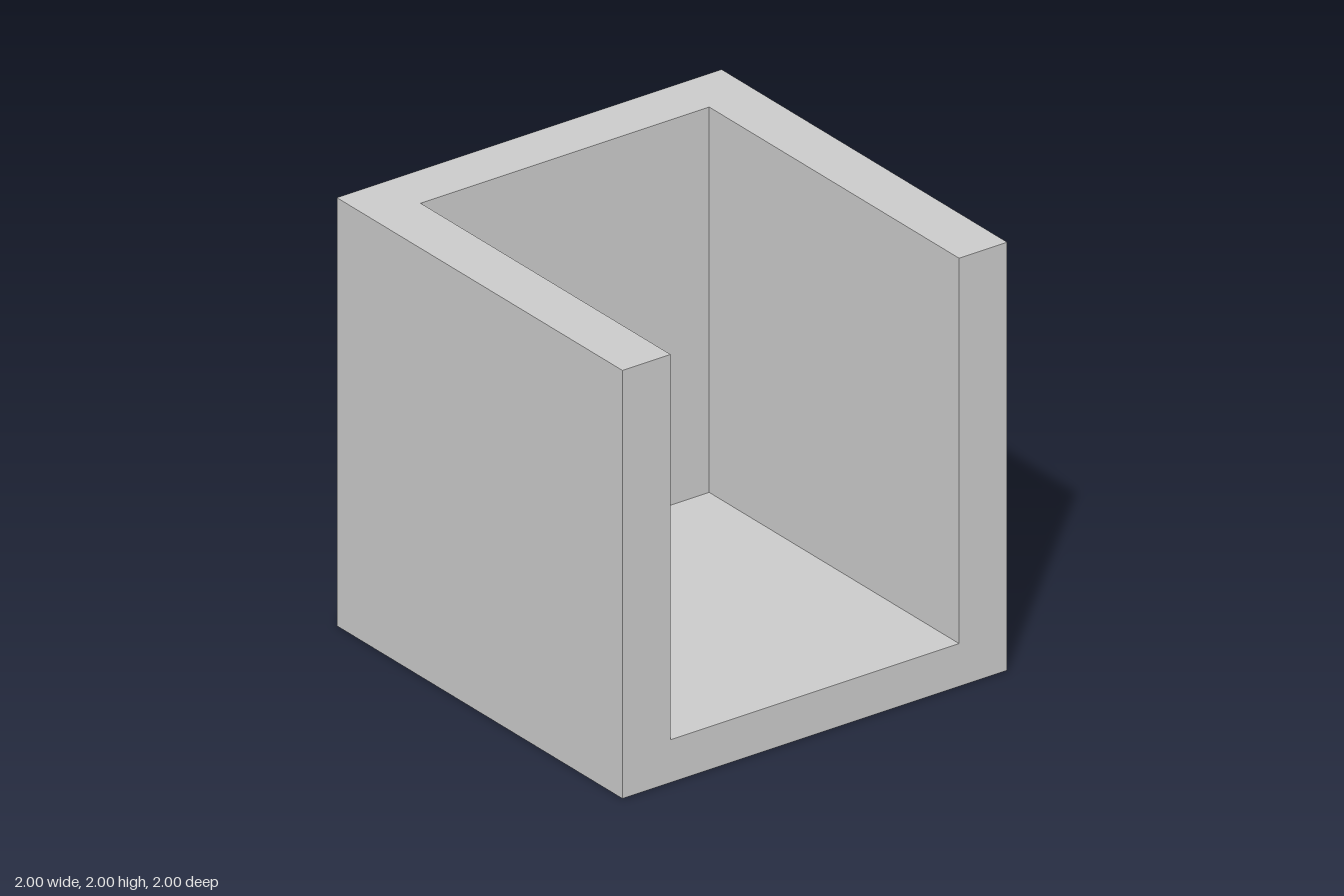
import * as THREE from 'three';

const SIZE = 2, HALF = SIZE / 2, WALL = 0.25, FLOOR = 0.2;

export function createModel() {
  const group = new THREE.Group();
  group.name = 'openBox';
  const material = new THREE.MeshStandardMaterial({ color: 0xcccccc, flatShading: true });

  // Floor slab
  const floor = new THREE.Mesh(new THREE.BoxGeometry(SIZE, FLOOR, SIZE), material);
  floor.name = 'floor';
  floor.position.y = FLOOR / 2;
  group.add(floor);

  // U-shaped walls, open to the front: plan drawn as (x, -z), then raised
  const inner = HALF - WALL;
  const plan = new THREE.Shape([
    [-HALF, -HALF], [-inner, -HALF], [-inner, inner], [inner, inner],
    [inner, -HALF], [HALF, -HALF], [HALF, HALF], [-HALF, HALF],
  ].map(([x, y]) => new THREE.Vector2(x, y)));
  const wallGeometry = new THREE.ExtrudeGeometry(plan, { depth: SIZE - FLOOR, bevelEnabled: false });
  wallGeometry.rotateX(-Math.PI / 2);
  const walls = new THREE.Mesh(wallGeometry, material);
  walls.name = 'walls';
  walls.position.y = FLOOR;
  group.add(walls);

  return group;
}
